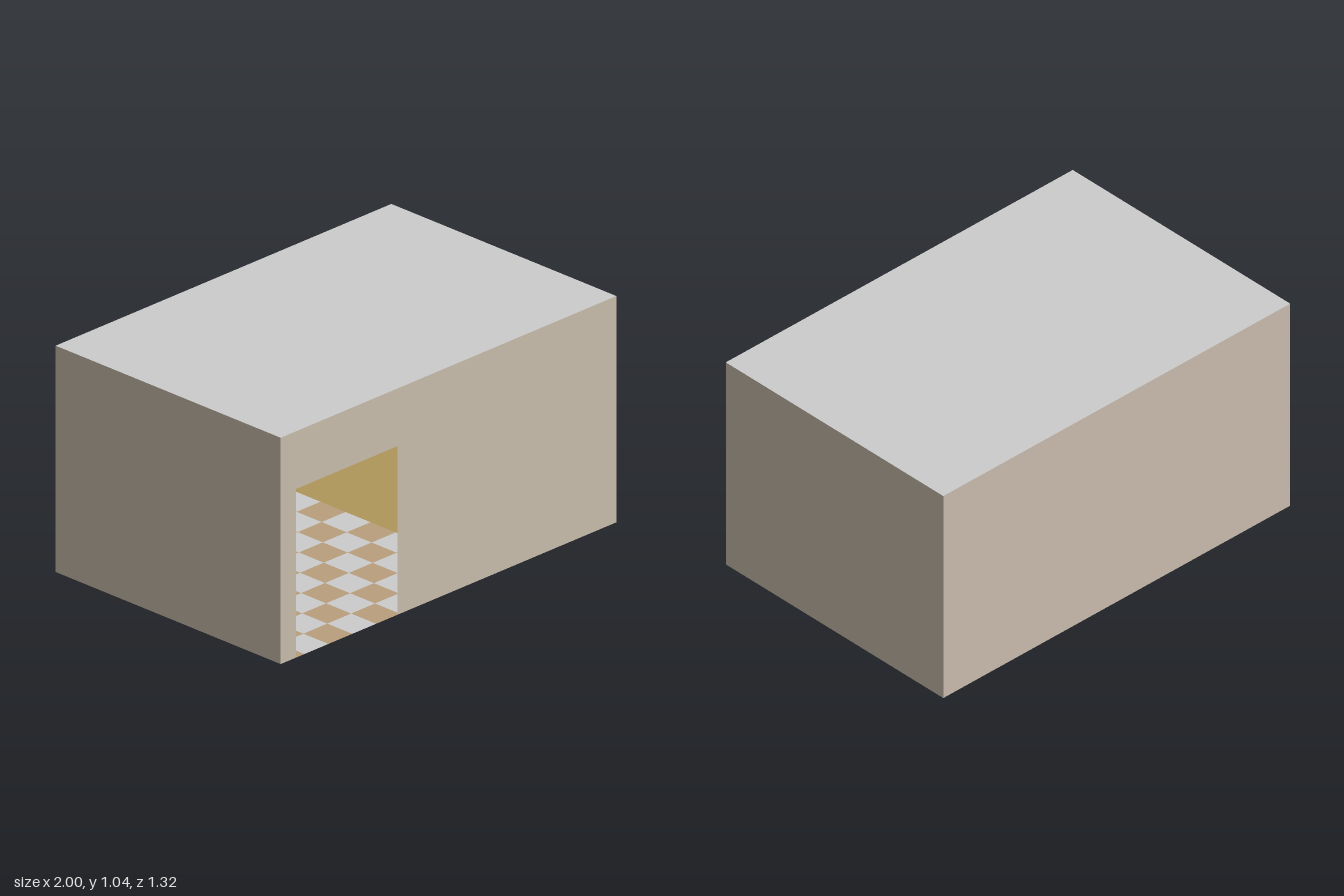
import * as THREE from 'three';

const W = 2, H = 1.04, D = 1.32;
const SPLIT = 0.28; // x where the tiled floor meets the plain floor

const material = (name, color) => {
  const m = new THREE.MeshStandardMaterial({ color, side: THREE.DoubleSide });
  m.name = name;
  return m;
};

export function createModel() {
  const model = new THREE.Group();
  model.name = 'room';
  const wall = material('beige wall', 0xc8bcac);
  const roof = material('light grey roof', 0xcccccc);
  const tan = material('tan tile', 0xb89f7d);
  const pale = material('pale tile', 0xcccccc);
  const brown = material('brown floor', 0xb0965a);

  const add = (name, geometry, mat, x, y, z) => {
    const mesh = new THREE.Mesh(geometry, mat);
    mesh.name = name;
    mesh.position.set(x, y, z);
    model.add(mesh);
  };

  // Front wall with the doorway cut up from the ground
  const front = new THREE.Shape([
    [-1, 0], [-0.91, 0], [-0.91, 0.775], [-0.305, 0.775],
    [-0.305, 0], [1, 0], [1, H], [-1, H],
  ].map(([x, y]) => new THREE.Vector2(x, y)));
  add('frontWall', new THREE.ShapeGeometry(front), wall, 0, 0, D / 2);

  // Thin back and side walls, facing outward
  add('backWall', new THREE.PlaneGeometry(W, H).rotateY(Math.PI), wall, 0, H / 2, -D / 2);
  for (const side of [-1, 1]) {
    add(side > 0 ? 'leftWall' : 'rightWall',
      new THREE.PlaneGeometry(D, H).rotateY(side * Math.PI / 2), wall, side * W / 2, H / 2, 0);
  }

  // Flat roof
  add('roof', new THREE.PlaneGeometry(W, D).rotateX(-Math.PI / 2), roof, 0, H, 0);

  // Checkered floor: one geometry group per tile
  const n = 9;
  const tiles = new THREE.PlaneGeometry(SPLIT + 1, D, n, n).rotateX(-Math.PI / 2);
  tiles.clearGroups();
  for (let row = 0; row < n; row++) {
    for (let col = 0; col < n; col++) {
      tiles.addGroup((row * n + col) * 6, 6, (row + col) % 2);
    }
  }
  add('tiledFloor', tiles, [tan, pale], (SPLIT - 1) / 2, 0, 0);

  // Plain floor at the other end
  add('plainFloor', new THREE.PlaneGeometry(1 - SPLIT, D).rotateX(-Math.PI / 2), brown, (1 + SPLIT) / 2, 0, 0);

  return model;
}
